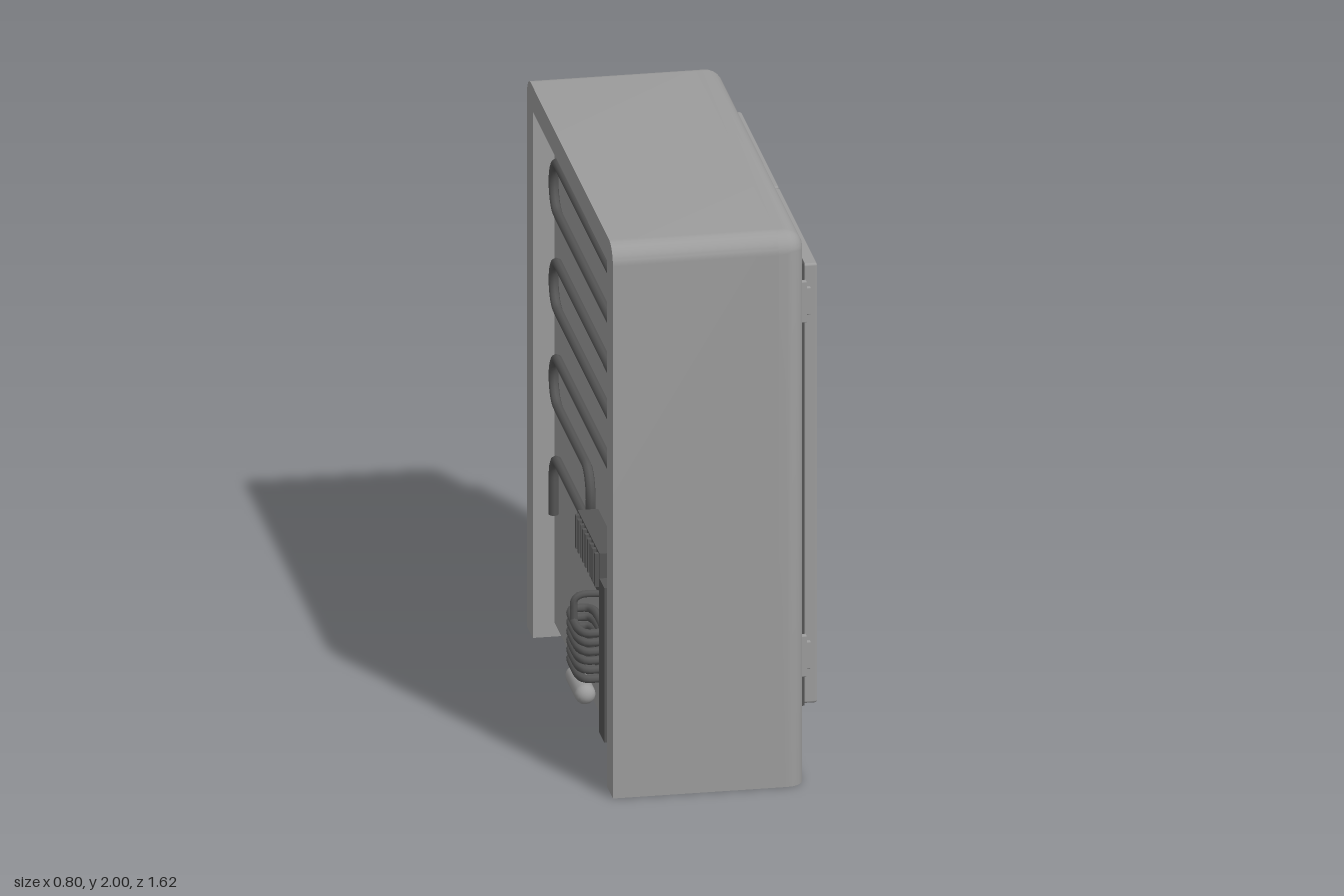
import * as THREE from 'three';
import { toCreasedNormals } from 'three/addons/utils/BufferGeometryUtils.js';
import { RoundedBoxGeometry } from 'three/addons/geometries/RoundedBoxGeometry.js';

const paint = (name, color) => Object.assign(new THREE.MeshStandardMaterial({ color }), { name });

export function createModel() {
  const model = new THREE.Group();
  model.name = 'cabinet';
  const enamel = paint('grey enamel', 0x9c9c9c);
  const dark = paint('dark metal', 0x555555);

  const add = (name, geometry, material, x = 0, y = 0, z = 0) => {
    const mesh = new THREE.Mesh(geometry, material);
    mesh.name = name;
    mesh.position.set(x, y, z);
    model.add(mesh);
    return mesh;
  };
  // box given by its limits on each axis
  const box = (name, material, [x0, x1], [y0, y1], [z0, z1], radius = 0) => {
    const size = [x1 - x0, y1 - y0, z1 - z0];
    const geo = radius ? new RoundedBoxGeometry(...size, 2, radius) : new THREE.BoxGeometry(...size);
    return add(name, geo, material, (x0 + x1) / 2, (y0 + y1) / 2, (z0 + z1) / 2);
  };
  const tube = (name, curve, segments, radius, closed = false) =>
    add(name, new THREE.TubeGeometry(curve, segments, radius, 8, closed), dark);

  // outline with round top corners, drawn counter-clockwise
  const outline = (half, top, r) => {
    const s = new THREE.Shape();
    s.moveTo(-half, 0);
    s.lineTo(half, 0);
    s.lineTo(half, top - r);
    s.absarc(half - r, top - r, r, 0, Math.PI / 2);
    s.lineTo(-half + r, top);
    s.absarc(-half + r, top - r, r, Math.PI / 2, Math.PI);
    s.closePath();
    return s;
  };

  // hollow casing: an arch open at the back and underneath
  const W = 0.81, H = 2, R = 0.07, seam = 0.22;
  const arch = new THREE.Shape();
  arch.moveTo(0.7, 0);
  arch.lineTo(W, 0);
  arch.lineTo(W, H - R);
  arch.absarc(W - R, H - R, R, 0, Math.PI / 2);
  arch.lineTo(-W + R, H);
  arch.absarc(-W + R, H - R, R, Math.PI / 2, Math.PI);
  arch.lineTo(-W, 0);
  arch.lineTo(-0.7, 0);
  arch.lineTo(-0.7, 1.91);
  arch.lineTo(0.7, 1.91);
  arch.closePath();
  const casing = new THREE.ExtrudeGeometry(arch, { depth: seam + 0.35, bevelEnabled: false, curveSegments: 8 });
  casing.rotateY(Math.PI / 2);
  add('casing', toCreasedNormals(casing, 0.6), enamel, -0.35);

  // inner box seen as the recessed back panel and floor
  box('backPanel', enamel, [-0.275, seam], [0.05, 1.91], [-0.7, 0.7]);

  // front frame: rounded at the front, flattened at the seam and the foot
  const b = 0.06;
  const frame = new THREE.ExtrudeGeometry(outline(W - b, H - b, 0.01), {
    depth: 0.31 - seam - b, bevelThickness: b, bevelSize: b, bevelSegments: 6, curveSegments: 6,
  });
  const p = frame.attributes.position;
  for (let i = 0; i < p.count; i++) {
    p.setY(i, Math.max(0, p.getY(i)));
    p.setZ(i, Math.max(0, p.getZ(i)));
  }
  frame.rotateY(Math.PI / 2);
  add('frontFrame', toCreasedNormals(frame, 0.6), enamel, seam);

  // seal behind the doors
  box('doorSeal', dark, [0.3, 0.325], [0.255, 1.86], [-0.72, 0.72]);

  // handle side profile, x outwards
  const grip = new THREE.Shape([
    [0.365, 1.0], [0.4, 1.005], [0.4, 1.12], [0.388, 1.215], [0.38, 1.232], [0.365, 1.232],
  ].map(([x, y]) => new THREE.Vector2(x, y)));

  for (const s of [1, -1]) {
    const span = (a, c) => (s > 0 ? [a, c] : [-c, -a]);
    box('door', enamel, [0.32, 0.37], [0.26, 1.855], span(0.005, 0.715), 0.009);

    const g = new THREE.ExtrudeGeometry(grip, { depth: 0.018, bevelEnabled: false });
    add('handle', g, enamel, 0, 0, s * 0.115 - 0.009);
    box('handleBase', enamel, [0.365, 0.397], [1.005, 1.115], span(0.1, 0.127), 0.004);

    for (const [y0, y1] of [[0.365, 0.515], [1.65, 1.8]]) {
      box('hingePlate', enamel, [0.3, 0.33], [y0, y1], span(0.712, 0.737), 0.004);
      box('hingeKnuckle', enamel, [0.315, 0.345], [y0 + 0.025, y1 - 0.025], span(0.712, 0.73), 0.004);
    }
  }

  // bowed bar and lock on one door
  const bow = new THREE.Shape();
  bow.moveTo(0.365, -0.615);
  bow.lineTo(0.372, -0.615);
  bow.quadraticCurveTo(0.402, -0.525, 0.372, -0.435);
  bow.lineTo(0.365, -0.435);
  bow.closePath();
  const bar = new THREE.ExtrudeGeometry(bow, { depth: 0.016, bevelEnabled: false, curveSegments: 10 });
  bar.rotateX(Math.PI / 2);
  add('doorBar', toCreasedNormals(bar, 0.6), enamel, 0, 1.702, 0);
  const lock = new THREE.CylinderGeometry(0.019, 0.019, 0.025, 6);
  lock.rotateZ(Math.PI / 2);
  add('lock', lock.toNonIndexed(), dark, 0.375, 1.52, -0.36);

  // serpentine pipe on the back panel
  const rows = [1.78, 1.6, 1.42, 1.25, 1.07, 0.9, 0.7];
  const X = -0.295, zl = -0.52, zr = 0.56;
  const v = (y, z) => new THREE.Vector3(X, y, z);
  const path = new THREE.CurvePath();
  const line = (a, c) => path.add(new THREE.LineCurve3(a, c));
  const turn = (y0, y1, z, out) => path.add(new THREE.CubicBezierCurve3(
    v(y0, z), v(y0, z + out * 0.12), v(y1, z + out * 0.12), v(y1, z)));
  line(v(1.93, zr + 0.09), v(1.87, zr + 0.09));
  path.add(new THREE.QuadraticBezierCurve3(v(1.87, zr + 0.09), v(1.78, zr + 0.09), v(1.78, zr)));
  rows.forEach((y, i) => {
    const right = i >= 5 ? 0 : zr;
    const toLeft = i % 2 === 0;
    line(v(y, toLeft ? right : zl), v(y, toLeft ? zl : right));
    if (i < rows.length - 1) turn(y, rows[i + 1], toLeft ? zl : right, toLeft ? -1 : 1);
  });
  path.add(new THREE.QuadraticBezierCurve3(v(0.7, zl), v(0.7, zl - 0.09), v(0.61, zl - 0.09)));
  line(v(0.61, zl - 0.09), v(0.48, zl - 0.09));
  tube('condenserPipe', path, 500, 0.017);

  // finned control box, bracket and tall side box
  box('controlBox', dark, [-0.345, -0.275], [0.65, 0.78], [0.12, 0.53]);
  for (let i = 0; i < 9; i++) {
    const z = 0.14 + i * 0.045;
    box('fin', dark, [-0.358, -0.34], [0.655, 0.775], [z, z + 0.018]);
  }
  box('bracket', dark, [-0.3, -0.275], [0.53, 0.65], [0.12, 0.35]);
  box('sideBox', dark, [-0.345, -0.275], [0.13, 0.69], [0.52, 0.62]);

  // stacked coil of rounded loops
  const loop = [];
  for (let i = 0; i < 24; i++) {
    const a = (i / 24) * Math.PI * 2;
    const soft = (t) => Math.sign(t) * Math.abs(t) ** 0.6;
    loop.push(new THREE.Vector3(-0.34 + 0.045 * soft(Math.cos(a)), 0, 0.265 + 0.12 * soft(Math.sin(a))));
  }
  const ring = new THREE.CatmullRomCurve3(loop, true);
  for (let i = 0; i < 6; i++) tube('coilLoop', ring, 48, 0.015, true).position.y = 0.27 + i * 0.033;

  // feed pipe from the control box to the coil
  tube('feedPipe', new THREE.CatmullRomCurve3([
    [-0.28, 0.53], [-0.36, 0.53], [-0.382, 0.515], [-0.385, 0.48], [-0.385, 0.43],
  ].map(([x, y]) => new THREE.Vector3(x, y, 0.265))), 24, 0.013);

  // compressor cylinder
  const drum = new THREE.CapsuleGeometry(0.036, 0.17, 6, 16);
  drum.rotateX(Math.PI / 2);
  add('compressor', drum, enamel, -0.365, 0.21, 0.28);

  return model;
}
